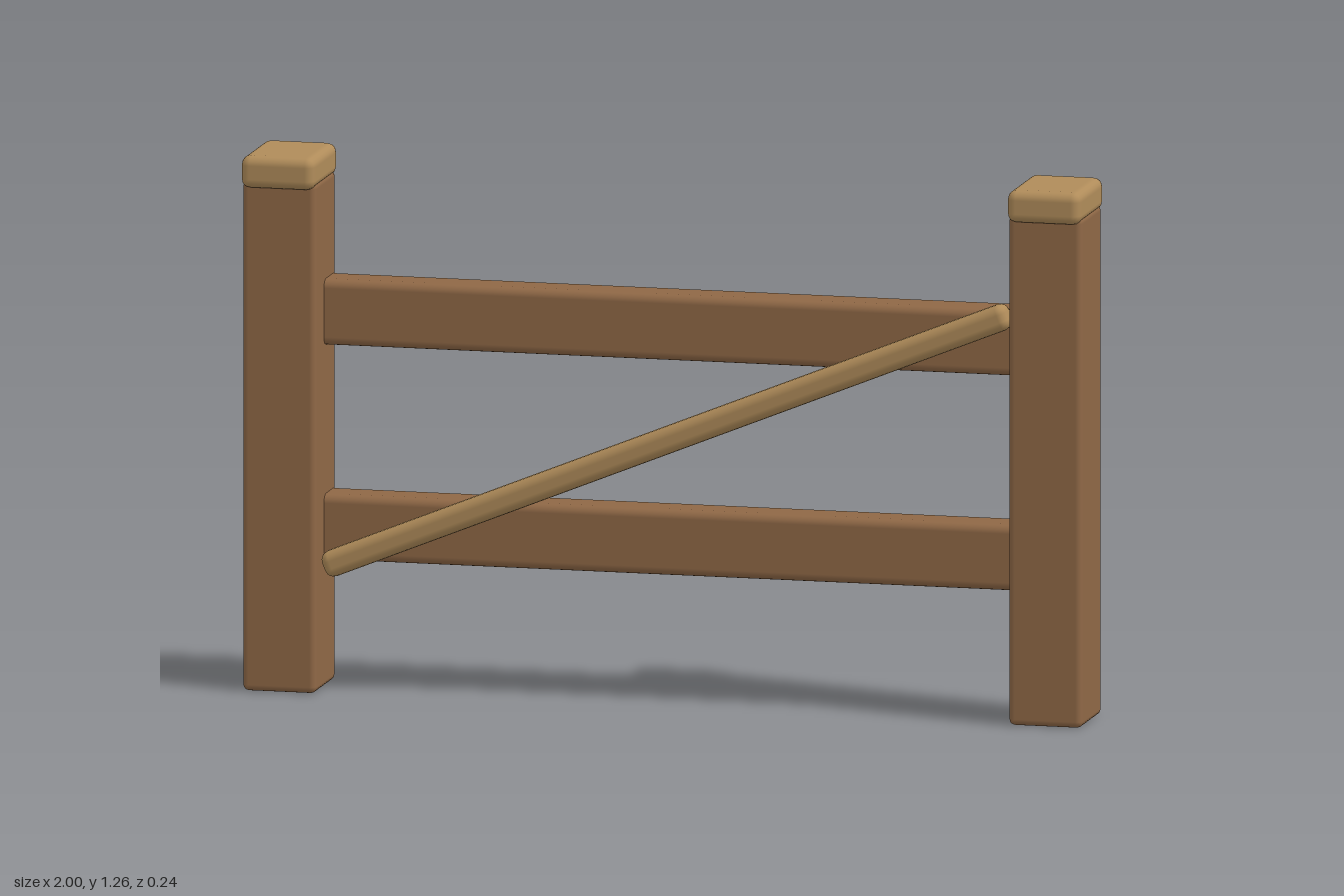
import * as THREE from 'three';
import { RoundedBoxGeometry } from 'three/addons/geometries/RoundedBoxGeometry.js';

export function createModel() {
  const group = new THREE.Group();
  const darkWood = new THREE.MeshStandardMaterial({ color: 0x8f6846 });
  const lightWood = new THREE.MeshStandardMaterial({ color: 0xb08c5a });

  // A timber with softened edges
  function timber(name, size, bevel, position, material) {
    const mesh = new THREE.Mesh(new RoundedBoxGeometry(...size, 2, bevel), material);
    mesh.name = name;
    mesh.position.set(...position);
    group.add(mesh);
    return mesh;
  }

  // Posts with overhanging caps
  for (const [side, sign] of [['left', 1], ['right', -1]]) {
    const x = sign * 0.912;
    timber(side + 'Post', [0.175, 1.2, 0.197], 0.015, [x, 0.6, 0], darkWood);
    timber(side + 'PostCap', [0.176, 0.076, 0.236], 0.022, [x, 1.222, 0], lightWood);
  }

  // Horizontal rails, running through the posts
  for (const [name, y] of [['lowerRail', 0.377], ['upperRail', 0.882]]) {
    timber(name, [1.996, 0.155, 0.108], 0.02, [0, y, -0.037], darkWood);
  }

  // Diagonal brace in front of the rails
  const brace = timber('diagonalBrace', [1.76, 0.062, 0.064], 0.022, [0, 0.625, 0.046], lightWood);
  brace.rotation.z = Math.atan2(0.332, 0.8145);

  return group;
}
